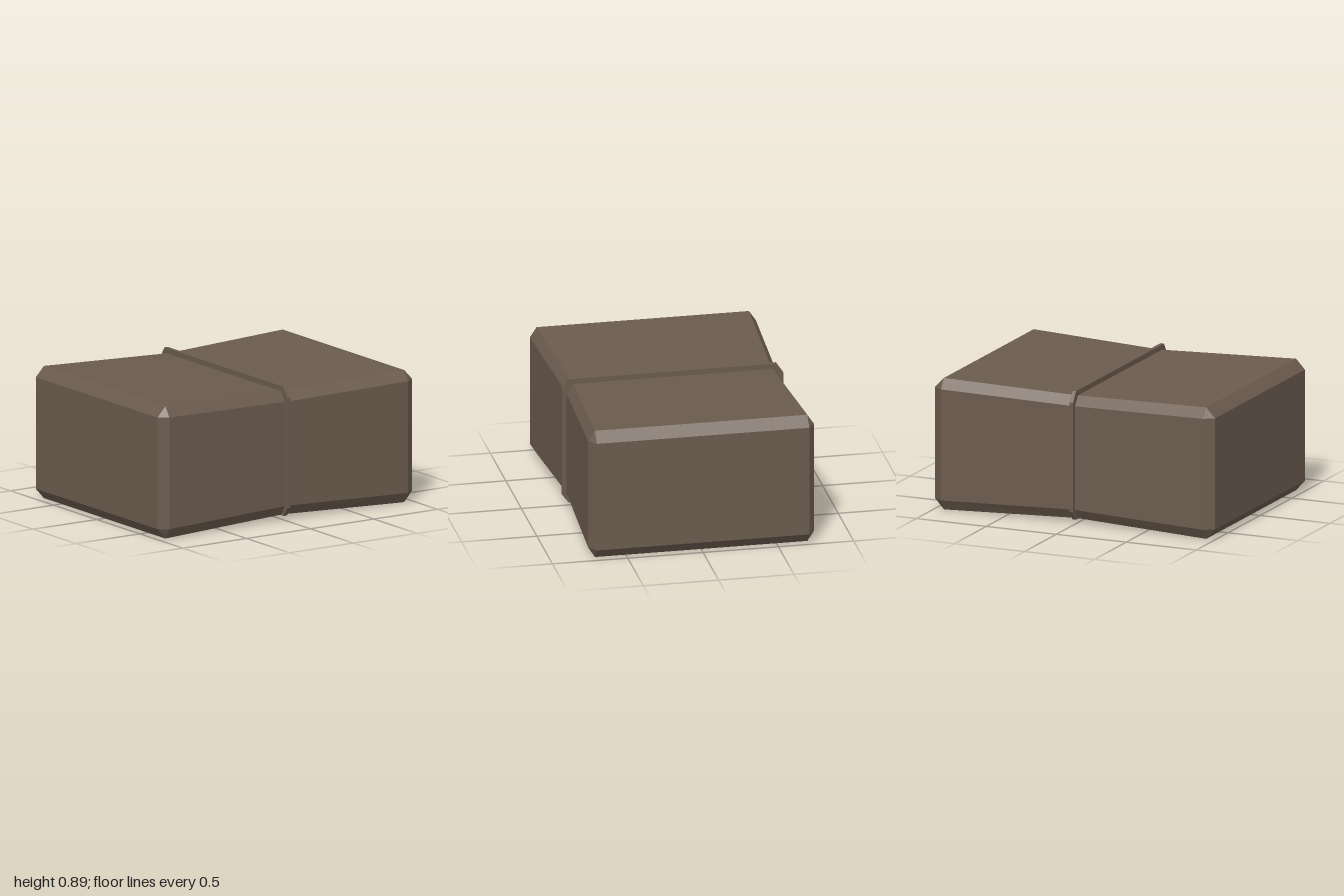
import * as THREE from 'three';

// Chamfered rectangle in the y/z plane: outer extents and where the flat sides end
function section(x, bottom, top, depth, sideBottom, sideTop, flatDepth) {
  const half = [[top, flatDepth], [sideTop, depth], [sideBottom, depth], [bottom, flatDepth]];
  const ring = [...half, ...half.slice().reverse().map(([y, z]) => [y, -z])];
  return ring.map(([y, z]) => new THREE.Vector3(x, y, z));
}

// Joins sections listed by rising x into a closed, hard-edged solid
function loft(sections) {
  const points = [];
  const face = (a, b, c) => {
    if (new THREE.Triangle(a, b, c).getArea() > 1e-7) points.push(a, b, c);
  };
  for (let s = 0; s < sections.length - 1; s++) {
    const a = sections[s], b = sections[s + 1];
    for (let i = 0; i < a.length; i++) {
      const j = (i + 1) % a.length;
      face(a[i], a[j], b[j]);
      face(a[i], b[j], b[i]);
    }
  }
  const first = sections[0], last = sections[sections.length - 1];
  for (let i = 1; i < first.length - 1; i++) {
    face(first[0], first[i + 1], first[i]);
    face(last[0], last[i], last[i + 1]);
  }
  const geometry = new THREE.BufferGeometry().setFromPoints(points);
  geometry.computeVertexNormals();
  return geometry;
}

export function createModel() {
  const group = new THREE.Group();
  group.name = 'strappedBale';
  const brown = new THREE.MeshStandardMaterial({ name: 'dull brown', color: 0x6b5b4e, flatShading: true });

  const add = (name, sections) => {
    const mesh = new THREE.Mesh(loft(sections), brown);
    mesh.name = name;
    group.add(mesh);
  };

  // Bale: flat ends, chamfered shoulders, pinched waist
  const end = (x) => section(x, 0.07, 0.815, 0.705, 0.07, 0.815, 0.705);
  const shoulder = (x) => section(x, 0, 0.882, 0.75, 0.07, 0.815, 0.705);
  add('bale', [
    end(-1), shoulder(-0.937),
    section(0.012, 0.03, 0.853, 0.705, 0.095, 0.79, 0.66),
    shoulder(0.937), end(1),
  ]);

  // Strap: thin band standing proud around the waist
  const band = (x) => section(x, 0.026, 0.888, 0.735, 0.085, 0.82, 0.69);
  add('strap', [band(0), band(0.025)]);

  return group;
}
